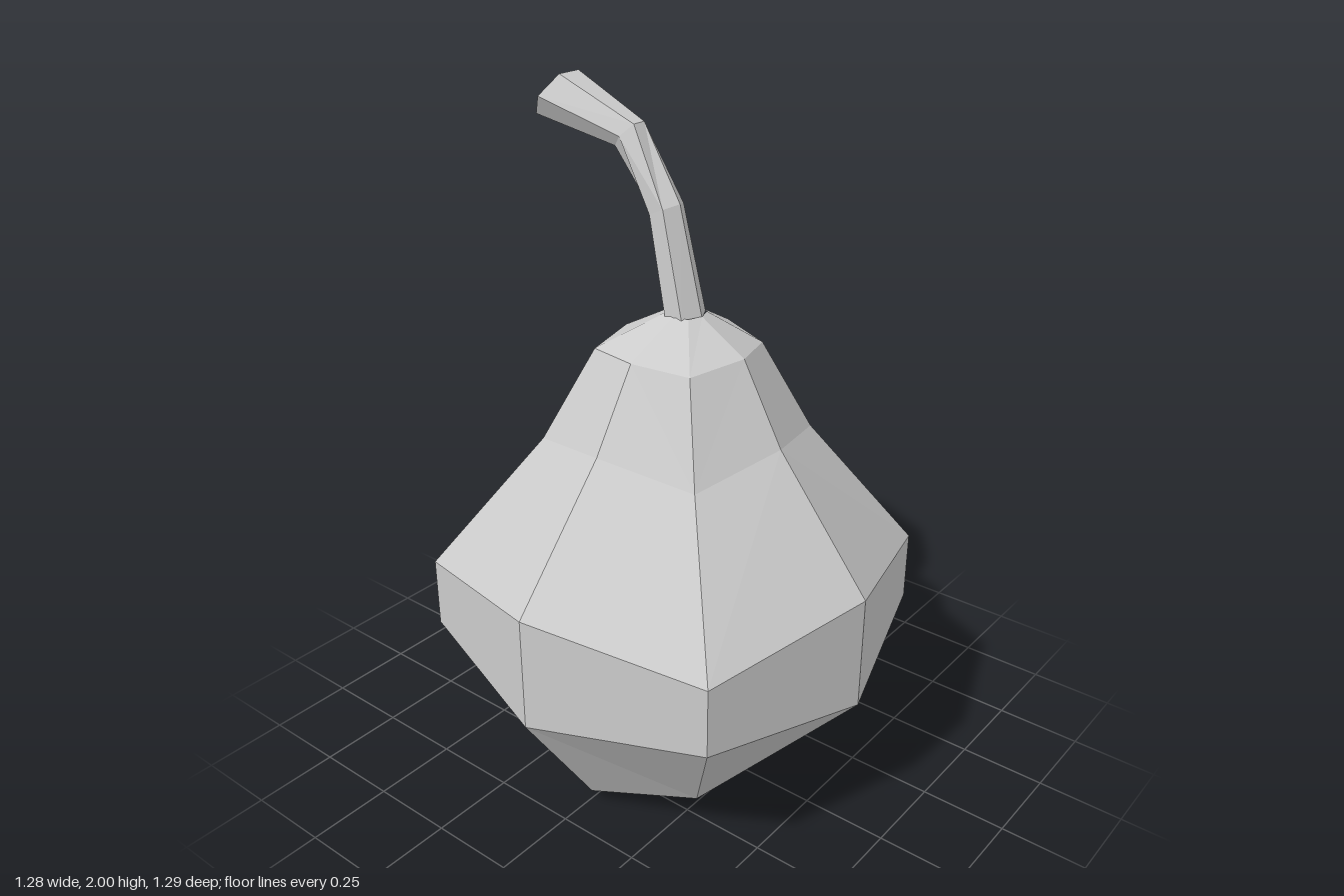
import * as THREE from 'three';

// Skins a stack of closed rings listed from top to bottom; collapsed triangles are dropped.
function skin(rings) {
  const pos = [];
  const tri = (a, b, c) => {
    const ab = b.clone().sub(a), ac = c.clone().sub(a);
    if (ab.cross(ac).length() > 1e-7) for (const p of [a, b, c]) pos.push(p.x, p.y, p.z);
  };
  for (let i = 0; i < rings.length - 1; i++) {
    const n = rings[i].length;
    for (let j = 0; j < n; j++) {
      const k = (j + 1) % n;
      const a = rings[i][j], b = rings[i][k], c = rings[i + 1][k], d = rings[i + 1][j];
      if (j % 2 === 0) { tri(d, c, a); tri(c, b, a); }
      else { tri(d, c, b); tri(d, b, a); }
    }
  }
  const geo = new THREE.BufferGeometry();
  geo.setAttribute('position', new THREE.Float32BufferAttribute(pos, 3));
  geo.computeVertexNormals();
  return geo;
}

// Completes a half ring (front round to back on the +x side) by mirroring it.
function mirrorRing(half) {
  const left = half.map(p => new THREE.Vector3(...p));
  const right = left.slice(1, -1).reverse().map(p => new THREE.Vector3(-p.x, p.y, p.z));
  return [...left, ...right];
}

// Six-sided stem section between its upper and lower points [y, z].
function stemRing([upper, lower, halfWidth, twist]) {
  const cy = (upper[0] + lower[0]) / 2, cz = (upper[1] + lower[1]) / 2;
  const k = twist ? 1 / Math.cos(Math.PI / 6) : 1;
  return Array.from({ length: 6 }, (_, i) => {
    const t = i * Math.PI / 3 + twist;
    return new THREE.Vector3(
      halfWidth * Math.sin(t),
      cy + (upper[0] - cy) * Math.cos(t) * k,
      cz + (upper[1] - cz) * Math.cos(t) * k);
  });
}

export function createModel() {
  const group = new THREE.Group();
  const material = new THREE.MeshStandardMaterial({ color: 0xcccccc, flatShading: true });
  const add = (name, geo) => {
    const mesh = new THREE.Mesh(geo, material);
    mesh.name = name;
    group.add(mesh);
  };

  // Body: front, front diagonal, side, back diagonal, lobe, back centre.
  // The lobe splits from the back centre below the belly to form the cleft.
  const base = [0, 0.005, 0.01];
  const body = [
    [[0, 1.42, 0.095], [0.04, 1.42, 0.08], [0.055, 1.42, 0.04], [0.04, 1.42, 0], [0, 1.42, -0.015], [0, 1.42, -0.015]],
    [[0, 1.335, 0.235], [0.16, 1.32, 0.18], [0.21, 1.335, 0.025], [0.16, 1.32, -0.145], [0, 1.335, -0.17], [0, 1.335, -0.17]],
    [[0, 1.11, 0.36], [0.265, 1.06, 0.28], [0.34, 1.11, 0.015], [0.265, 1.06, -0.25], [0, 1.11, -0.3], [0, 1.11, -0.3]],
    [[0, 0.755, 0.645], [0.49, 0.68, 0.5], [0.64, 0.755, 0.005], [0.49, 0.68, -0.485], [0, 0.755, -0.585], [0, 0.755, -0.585]],
    [[0, 0.42, 0.645], [0.49, 0.475, 0.5], [0.64, 0.42, 0.005], [0.49, 0.475, -0.485], [0.3, 0.42, -0.645], [0, 0.51, -0.575]],
    [[0, 0.165, 0.41], [0.31, 0.13, 0.33], [0.4, 0.05, 0.015], [0.31, 0.12, -0.3], [0.14, 0.155, -0.41], [0, 0.11, -0.3]],
    Array(6).fill(base),
  ];
  add('gourdBody', skin(body.map(mirrorRing)));

  // Stem: bends backward and flares at a slightly hollow tip.
  const turn = Math.PI / 6;
  const stem = [
    [[2.0, -0.355], [1.885, -0.445], 0.075, turn],
    [[1.9, -0.115], [1.835, -0.18], 0.042, turn],
    [[1.71, 0.02], [1.67, -0.07], 0.05, 0],
    [[1.415, 0.095], [1.415, -0.018], 0.06, 0],
  ].map(stemRing);
  const tipCentre = new THREE.Vector3(0, 1.94, -0.39);
  add('stem', skin([Array(6).fill(tipCentre), ...stem]));

  return group;
}
